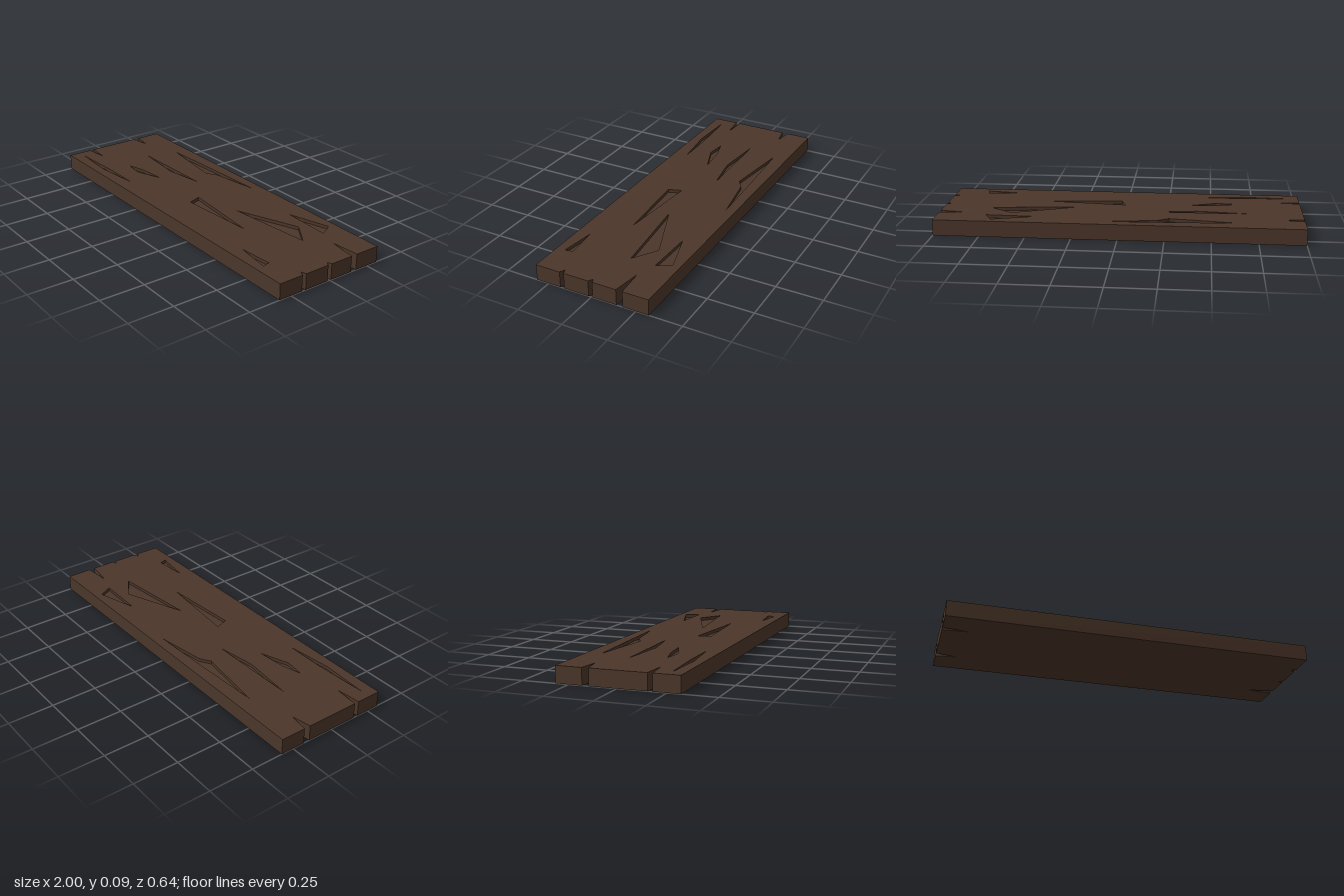
import * as THREE from 'three';

const HEIGHT = 0.088;
const DEPTH = 0.018; // depth of the carved chips

// Plan outline as [x, z], with V-shaped splits in both ends
const OUTLINE = [
  [-1, 0.32], [1, 0.32],
  [1, 0.18], [0.97, 0.166], [1, 0.157],
  [1, 0.015], [0.975, 0], [1, -0.008],
  [1, -0.142], [0.84, -0.165], [1, -0.177],
  [1, -0.32], [-1, -0.32],
  [-1, -0.18], [-0.89, -0.165], [-1, -0.145],
  [-1, 0.155], [-0.86, 0.165], [-1, 0.18],
];

// Chips gouged out of the upper face, as [x, z]
const CHIPS = [
  [[-0.65, -0.237], [-0.27, -0.188], [-0.21, -0.225], [0.07, -0.267], [-0.3, -0.253]],
  [[-0.71, -0.062], [-0.42, -0.036], [-0.2, -0.07]],
  [[-0.64, 0.115], [-0.53, 0.128], [-0.37, 0.07], [-0.53, 0.086]],
  [[-0.95, 0.255], [-0.68, 0.268], [-0.42, 0.24], [-0.65, 0.24]],
  [[-0.015, 0.052], [0.01, 0.125], [0.45, 0.095]],
  [[0.25, -0.012], [0.73, -0.062], [0.6, -0.148]],
  [[0.46, -0.21], [0.73, -0.202], [0.69, -0.278]],
  [[0.62, 0.245], [0.82, 0.272], [0.81, 0.23]],
];

const plan = (points) => points.map(([x, z]) => new THREE.Vector2(x, -z));

// Flat face at height y, facing up or down
function flatFace(points, y, up = true, holes = []) {
  const shape = new THREE.Shape(up ? plan(points) : points.map(([x, z]) => new THREE.Vector2(x, z)));
  shape.holes = holes.map((hole) => new THREE.Path(plan(hole)));
  return new THREE.ShapeGeometry(shape).rotateX(up ? -Math.PI / 2 : Math.PI / 2).translate(0, y, 0);
}

// Vertical walls along a closed loop, facing outward or into a recess
function walls(points, y0, y1, outward) {
  const counterClockwise = THREE.ShapeUtils.area(plan(points)) > 0;
  const loop = counterClockwise === outward ? points : [...points].reverse();
  const positions = [];
  loop.forEach(([ax, az], i) => {
    const [bx, bz] = loop[(i + 1) % loop.length];
    positions.push(ax, y0, az, bx, y0, bz, bx, y1, bz);
    positions.push(ax, y0, az, bx, y1, bz, ax, y1, az);
  });
  const geometry = new THREE.BufferGeometry();
  geometry.setAttribute('position', new THREE.Float32BufferAttribute(positions, 3));
  geometry.computeVertexNormals();
  return geometry;
}

export function createModel() {
  const wood = new THREE.MeshStandardMaterial({ color: 0x4b3629, flatShading: true });
  const plank = new THREE.Group();
  plank.name = 'plank';
  const add = (parent, name, geometry) => {
    const mesh = new THREE.Mesh(geometry, wood);
    mesh.name = name;
    parent.add(mesh);
  };

  // Board body
  add(plank, 'topFace', flatFace(OUTLINE, HEIGHT, true, CHIPS));
  add(plank, 'bottomFace', flatFace(OUTLINE, 0, false));
  add(plank, 'edges', walls(OUTLINE, 0, HEIGHT, true));

  // Carved recesses
  CHIPS.forEach((chip, i) => {
    const recess = new THREE.Group();
    recess.name = `chip${i + 1}`;
    add(recess, 'chipFloor', flatFace(chip, HEIGHT - DEPTH));
    add(recess, 'chipWalls', walls(chip, HEIGHT - DEPTH, HEIGHT, false));
    plank.add(recess);
  });
  return plank;
}
